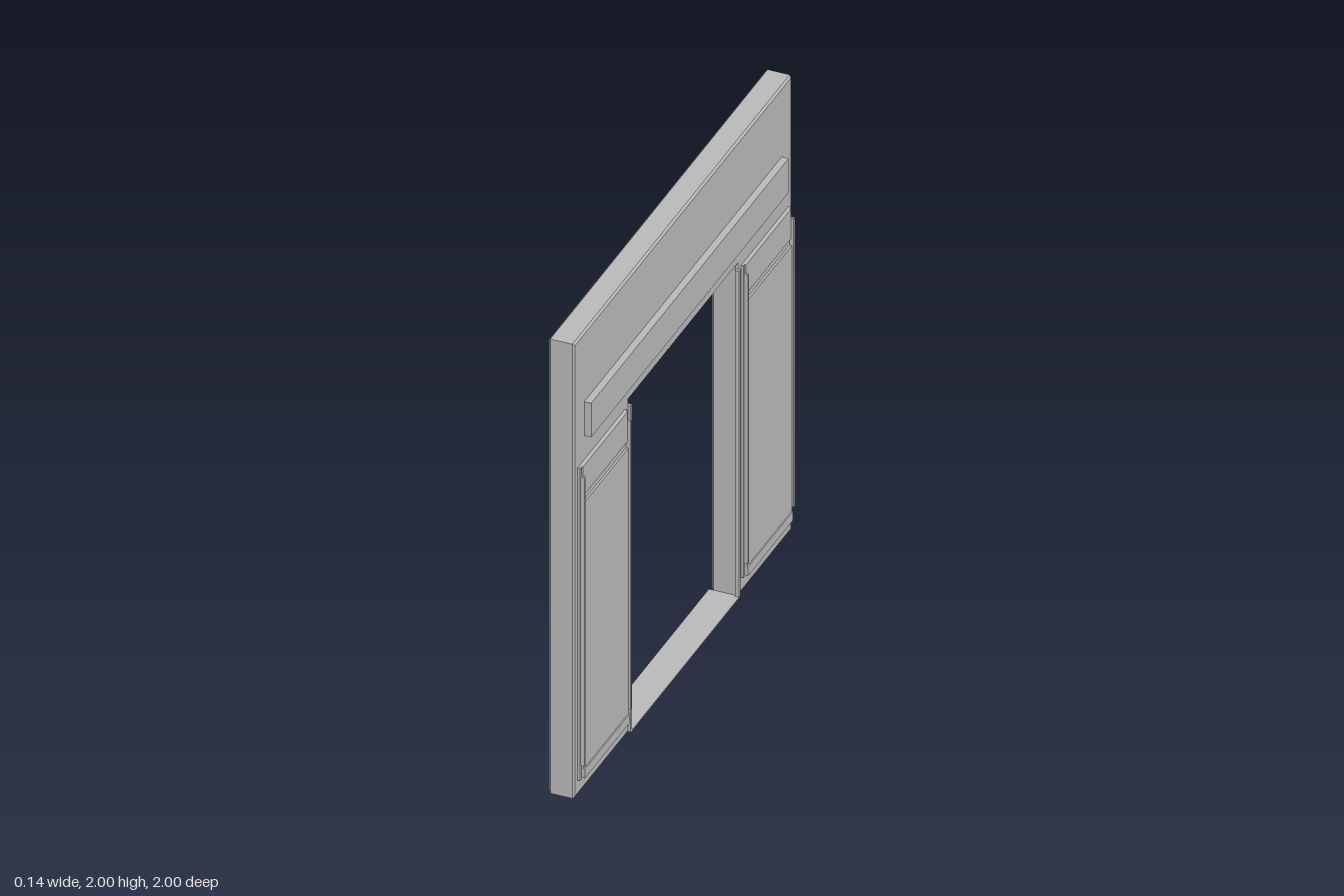
import * as THREE from 'three';

export function createModel() {
  const model = new THREE.Group();
  model.name = 'wallWithDoorway';
  const grey = new THREE.MeshStandardMaterial({ color: 0xb8b8b8 });
  grey.name = 'plain grey';

  const WALL_BACK = -0.065, WALL_FACE = 0.04;

  // Box given by its limits along x, y and z
  function block(name, [x0, x1], [y0, y1], [z0, z1], parent = model) {
    const mesh = new THREE.Mesh(new THREE.BoxGeometry(x1 - x0, y1 - y0, Math.abs(z1 - z0)), grey);
    mesh.position.set((x0 + x1) / 2, (y0 + y1) / 2, (z0 + z1) / 2);
    mesh.name = name;
    parent.add(mesh);
  }

  // Wall with a doorway, chamfered along every edge
  const bevel = 0.008;
  const outline = new THREE.Shape([
    [-1, 0], [-0.5, 0], [-0.5, 1.46], [0.5, 1.46], [0.5, 0], [1, 0], [1, 2], [-1, 2],
  ].map(([z, y]) => new THREE.Vector2(z, y)));
  const wallGeometry = new THREE.ExtrudeGeometry(outline, {
    depth: WALL_FACE - WALL_BACK - 2 * bevel,
    bevelEnabled: true, bevelSegments: 1,
    bevelSize: bevel, bevelThickness: bevel, bevelOffset: -bevel,
  });
  wallGeometry.rotateY(-Math.PI / 2);
  wallGeometry.translate(WALL_FACE - bevel, 0, 0);
  const wall = new THREE.Mesh(wallGeometry, grey);
  wall.name = 'wall';
  model.add(wall);

  // Threshold across the doorway
  block('threshold', [-0.075, 0.05], [0, 0.005], [-0.5, 0.5]);

  // Fascia board above the doorway
  block('fasciaBoard', [WALL_FACE, 0.068], [1.545, 1.695], [-0.908, 0.908]);

  // Door edge strips and side panels, mirrored about the doorway
  for (const s of [1, -1]) {
    const side = s > 0 ? 'front' : 'back';
    const z = (a, b) => [s * a, s * b];
    block(side + 'DoorEdge', [0.034, 0.05], [0.005, 1.44], z(0.492, 0.507));

    const panel = new THREE.Group();
    panel.name = side + 'SidePanel';
    model.add(panel);
    block('backPlate', [WALL_FACE, 0.05], [0.065, 1.44], z(0.535, 0.97), panel);
    block('headerPanel', [WALL_FACE, 0.056], [1.31, 1.44], z(0.545, 0.958), panel);
    block('mainPanel', [WALL_FACE, 0.059], [0.112, 1.28], z(0.545, 0.958), panel);
    block('bottomRail', [WALL_FACE, 0.064], [0.072, 0.112], z(0.545, 0.958), panel);
    block('innerStile', [WALL_FACE, 0.067], [0.13, 1.4], z(0.537, 0.546), panel);
    block('outerStile', [WALL_FACE, 0.067], [0.13, 1.4], z(0.957, 0.967), panel);
  }
  return model;
}
